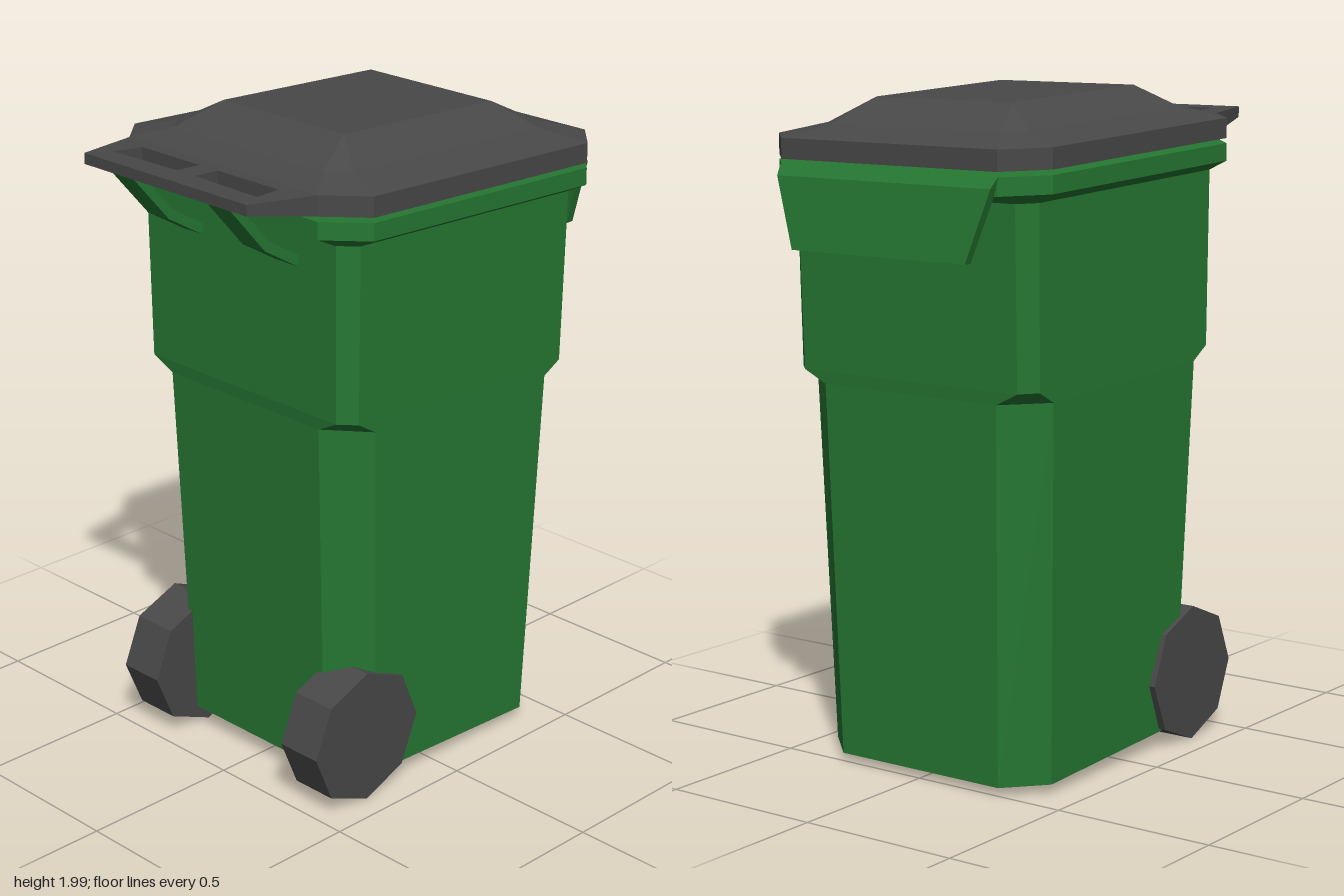
import * as THREE from 'three';

const TILT = -0.04; // the whole bin leans: heights fall slightly towards +x
const green = new THREE.MeshStandardMaterial({ color: 0x267833, flatShading: true });
const grey = new THREE.MeshStandardMaterial({ color: 0x484848, flatShading: true });

// Tilted octagon from x0 to x1, half depth h, corners cut by cx and cz
function octagon(y, x0, x1, h, cx, cz) {
  const k = h - cz;
  return [
    [x1, k], [x1, -k], [x1 - cx, -h], [x0 + cx, -h],
    [x0, -k], [x0, k], [x0 + cx, h], [x1 - cx, h],
  ].map(([x, z]) => new THREE.Vector3(x, y + TILT * x, z));
}

// Closed skin through rings listed from bottom to top
function loft(rings) {
  const pos = [];
  const tri = (a, b, c) => {
    if (new THREE.Triangle(a, b, c).getArea() > 1e-7) pos.push(...a, ...b, ...c);
  };
  const n = rings[0].length;
  for (let r = 0; r < rings.length - 1; r++) {
    for (let i = 0; i < n; i++) {
      const j = (i + 1) % n, a = rings[r], b = rings[r + 1];
      tri(a[i], a[j], b[j]);
      tri(a[i], b[j], b[i]);
    }
  }
  const low = rings[0], top = rings[rings.length - 1];
  for (let i = 1; i < n - 1; i++) {
    tri(low[0], low[i + 1], low[i]);
    tri(top[0], top[i], top[i + 1]);
  }
  const geo = new THREE.BufferGeometry();
  geo.setAttribute('position', new THREE.Float32BufferAttribute(pos, 3));
  geo.computeVertexNormals();
  return geo;
}

const outline = (pts) => pts.map(([x, y]) => new THREE.Vector2(x, y));

// Flat rear grip with two hand holes, thinning towards its free edge
function handleGeometry() {
  const shape = new THREE.Shape(outline([[-0.47, -0.385], [-0.47, 0.385], [-0.68, 0.333], [-0.68, -0.333]]));
  for (const s of [1, -1]) {
    shape.holes.push(new THREE.Path(outline([
      [-0.607, s * 0.295], [-0.513, s * 0.28], [-0.513, s * 0.037], [-0.597, s * 0.037],
    ])));
  }
  const geo = new THREE.ExtrudeGeometry(shape, { depth: 1, bevelEnabled: false });
  geo.rotateX(-Math.PI / 2);
  const p = geo.attributes.position;
  for (let i = 0; i < p.count; i++) {
    const x = p.getX(i);
    const bottom = THREE.MathUtils.mapLinear(x, -0.68, -0.47, 1.885, 1.849);
    p.setY(i, p.getY(i) > 0.5 ? 1.89 + TILT * x : bottom);
  }
  geo.computeVertexNormals();
  return geo;
}

export function createModel() {
  const model = new THREE.Group();
  model.name = 'wheeledBin';
  const add = (name, geo, mat) => {
    const mesh = new THREE.Mesh(geo, mat);
    mesh.name = name;
    model.add(mesh);
    return mesh;
  };

  // Tapered body: wide corner cuts below the step, narrow ones above
  add('body', loft([
    octagon(0.05, -0.357, 0.502, 0.4, 0.107, 0.112),
    octagon(1.17, -0.395, 0.537, 0.43, 0.107, 0.12),
    octagon(1.208, -0.4, 0.54, 0.43, 0.045, 0.045),
    octagon(1.735, -0.405, 0.556, 0.435, 0.05, 0.045),
  ]), green);

  // Flared rim
  add('rim', loft([
    octagon(1.735, -0.405, 0.556, 0.435, 0.05, 0.045),
    octagon(1.763, -0.47, 0.63, 0.49, 0.11, 0.105),
    octagon(1.815, -0.47, 0.63, 0.49, 0.11, 0.105),
  ]), green);

  // Lid: edge band, shallow shoulder, raised centre
  add('lid', loft([
    octagon(1.83, -0.47, 0.63, 0.49, 0.11, 0.105),
    octagon(1.89, -0.47, 0.63, 0.49, 0.11, 0.105),
    octagon(1.92, -0.37, 0.51, 0.36, 0.06, 0.055),
    octagon(1.99, -0.23, 0.37, 0.245, 0, 0),
  ]), grey);
  add('lidHandle', handleGeometry(), grey);

  // Hanging lip on the +x end: [y, inner x, outer x, half width]
  add('lip', loft([
    [1.553, 0.652, 0.677, 0.31],
    [1.76, 0.625, 0.655, 0.38],
    [1.79, 0.6, 0.632, 0.388],
  ].map(([y, xi, xo, w]) => [[xo, w], [xo, -w], [xi, -w], [xi, w]]
    .map(([x, z]) => new THREE.Vector3(x, y, z)))), green);

  // Bent hinge arms and eight-sided wheels, one pair each
  const arm = new THREE.Shape(outline([
    [-0.665, 1.885], [-0.53, 1.73], [-0.395, 1.65], [-0.395, 1.685], [-0.512, 1.753], [-0.625, 1.88],
  ]));
  const armGeo = new THREE.ExtrudeGeometry(arm, { depth: 0.09, bevelEnabled: false }).translate(0, 0, -0.045);
  const wheelGeo = new THREE.CylinderGeometry(0.209, 0.209, 0.147, 8).rotateX(Math.PI / 2);
  for (const [side, s] of [['Front', 1], ['Back', -1]]) {
    add('hingeArm' + side, armGeo, green).position.z = s * 0.197;
    add('wheel' + side, wheelGeo, grey).position.set(-0.31, 0.214, s * 0.35);
  }
  return model;
}
